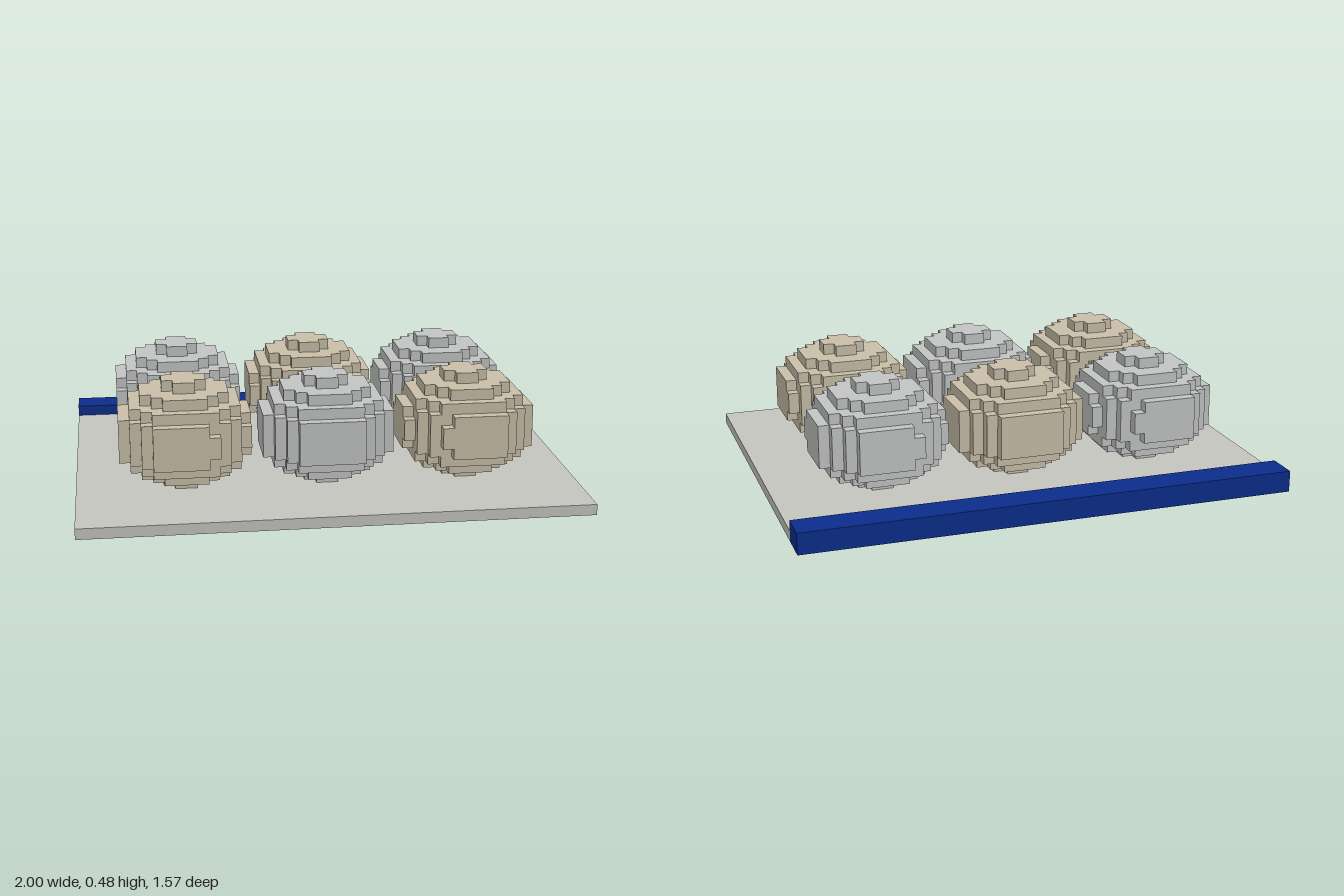
import * as THREE from 'three';
import { mergeGeometries } from 'three/addons/utils/BufferGeometryUtils.js';

const U = 2 / 46; // one voxel

const mat = (name, color) => {
  const m = new THREE.MeshStandardMaterial({ color });
  m.name = name;
  return m;
};

// Box given by its voxel bounds
function block(name, material, x0, x1, y0, y1, z0, z1) {
  const g = new THREE.BoxGeometry((x1 - x0) * U, (y1 - y0) * U, (z1 - z0) * U);
  g.translate((x0 + x1) / 2 * U, (y0 + y1) / 2 * U, (z0 + z1) / 2 * U);
  const mesh = new THREE.Mesh(g, material);
  mesh.name = name;
  return mesh;
}

// Squared radius of the voxel discs, from the equator to the pole
const DISC_LIMITS = [37, 36, 29, 18, 3];

// Stepped outline of one voxel disc; (ox, oz) points outward from the plate centre
function discShape(level, ox, oz) {
  const inside = (x, z) => {
    const outward = x * ox >= 0 && z * oz > 0;
    return x * x + z * z <= DISC_LIMITS[level] + (level === 1 && outward ? 1 : 0);
  };
  const right = [], left = [];
  for (let z = -6; z < 6; z++) {
    const run = [];
    for (let x = -6; x < 6; x++) if (inside(x + 0.5, z + 0.5)) run.push(x);
    if (!run.length) continue;
    const lo = run[0], hi = run[run.length - 1] + 1;
    right.push([hi, z], [hi, z + 1]);
    left.push([lo, z], [lo, z + 1]);
  }
  const points = [...right, ...left.reverse()]
    .filter((p, i, a) => i === 0 || p[0] !== a[i - 1][0] || p[1] !== a[i - 1][1])
    .map(([x, z]) => new THREE.Vector2(x * U, z * U));
  return new THREE.Shape(points);
}

// Ball made of ten stacked voxel discs
function ballGeometry(ox, oz) {
  const discs = [];
  for (let layer = 0; layer < 10; layer++) {
    const level = layer < 5 ? 4 - layer : layer - 5;
    const g = new THREE.ExtrudeGeometry(discShape(level, ox, oz), { depth: U, bevelEnabled: false });
    g.rotateX(Math.PI / 2);
    g.translate(0, (layer + 1) * U, 0);
    discs.push(g);
  }
  return mergeGeometries(discs);
}

export function createModel() {
  const plateGrey = mat('plate grey', 0xc5c5c0);
  const ballGrey = mat('ball grey', 0xc2c5c3);
  const tan = mat('tan', 0xc9bfa8);
  const blue = mat('blue', 0x0b2d8b);

  const model = new THREE.Group();
  model.name = 'ballTray';

  // Base plate and rear bar
  model.add(block('basePlate', plateGrey, -23, 23, 0, 1, -15, 18));
  model.add(block('rearBar', blue, -23, 23, 0, 2, -18, -15));

  // Two rows of three balls in alternating colours
  for (const oz of [1, -1]) {
    for (const ox of [-1, 0, 1]) {
      const isTan = (oz === 1) === (ox !== 0);
      const ball = new THREE.Mesh(ballGeometry(ox, oz), isTan ? tan : ballGrey);
      ball.name = `${oz > 0 ? 'front' : 'back'}${['Right', 'Middle', 'Left'][ox + 1]}Ball`;
      ball.position.set(ox * 13 * U, U, (oz > 0 ? 7 : -6) * U);
      model.add(ball);
    }
  }
  return model;
}
